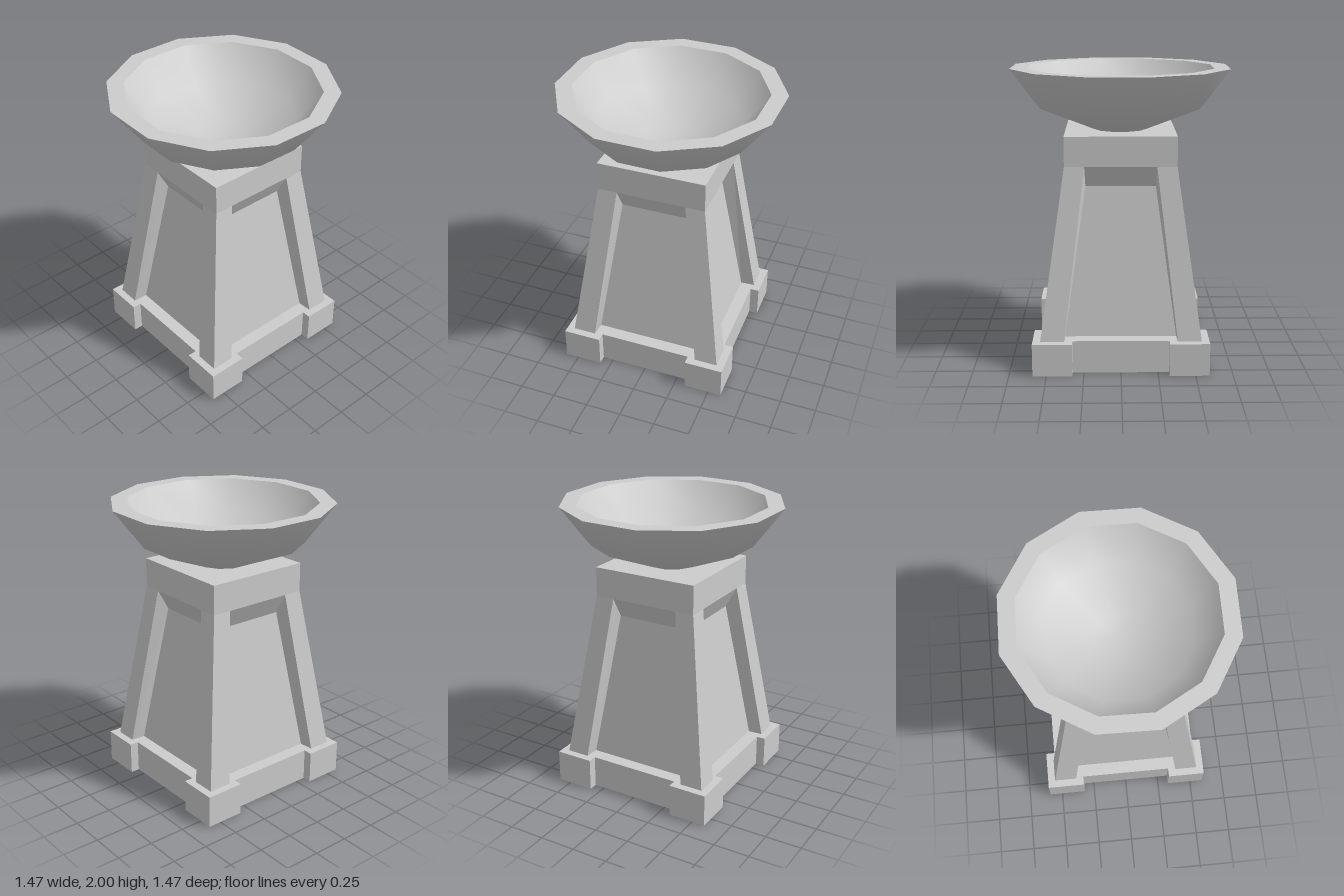
import * as THREE from 'three';

const mat = new THREE.MeshStandardMaterial({ color: 0xcccccc });
const flat = new THREE.MeshStandardMaterial({ color: 0xcccccc, flatShading: true });

function add(parent, name, geometry, material = flat) {
  const mesh = new THREE.Mesh(geometry, material);
  mesh.name = name;
  parent.add(mesh);
  return mesh;
}

// Flat quads, corners counter-clockwise seen from the front
function quads(list) {
  const pos = [];
  for (const [a, b, c, d] of list) pos.push(...a, ...b, ...c, ...a, ...c, ...d);
  const g = new THREE.BufferGeometry();
  g.setAttribute('position', new THREE.Float32BufferAttribute(pos, 3));
  g.computeVertexNormals();
  return g;
}

// Square plinth whose sides step in between the corner blocks
function plinthGeometry(half, notch, inset, height) {
  const side = [[-half, half], [-notch, half], [-notch, inset], [notch, inset], [notch, half]];
  const points = [];
  for (let i = 0; i < 4; i++) {
    for (const [x, y] of side) {
      points.push(new THREE.Vector2(x, y).rotateAround(new THREE.Vector2(), -i * Math.PI / 2));
    }
  }
  const g = new THREE.ExtrudeGeometry(new THREE.Shape(points), { depth: height, bevelEnabled: false });
  return g.rotateX(-Math.PI / 2);
}

// One tapered side: two piers framing a recessed panel under a sloping lintel
function columnSideGeometry() {
  const y0 = 0.225, y1 = 1.38, yPanel = 1.235;
  const list = [];
  for (const s of [-1, 1]) {
    const cornerLow = [s * 0.54, y0, 0.54], cornerTop = [s * 0.373, y1, 0.373];
    const frameLow = [s * 0.38, y0, 0.54], frameTop = [s * 0.24, y1, 0.373];
    const panelLow = [s * 0.375, y0, 0.44], panelTop = [s * 0.235, yPanel, 0.294];
    const pier = [cornerLow, frameLow, frameTop, cornerTop];
    const reveal = [frameLow, panelLow, panelTop, frameTop];
    list.push(...(s < 0 ? [pier, reveal] : [pier.reverse(), reveal.reverse()]));
  }
  list.push([[-0.375, y0, 0.44], [0.375, y0, 0.44], [0.235, yPanel, 0.294], [-0.235, yPanel, 0.294]]);
  list.push([[-0.235, yPanel, 0.294], [0.235, yPanel, 0.294], [0.24, y1, 0.373], [-0.24, y1, 0.373]]);
  return quads(list);
}

// Twelve-sided surface of revolution
function ring(profile) {
  const points = profile.map(([r, y]) => new THREE.Vector2(r, y));
  return new THREE.LatheGeometry(points, 12, THREE.MathUtils.degToRad(13.9));
}

export function createModel() {
  const model = new THREE.Group();
  model.name = 'pedestalBowl';

  add(model, 'plinth', plinthGeometry(0.592, 0.325, 0.53, 0.225));

  // Column
  const column = new THREE.Group();
  column.name = 'column';
  model.add(column);
  const sideGeometry = columnSideGeometry();
  for (let i = 0; i < 4; i++) {
    add(column, 'columnSide', sideGeometry).rotation.y = i * Math.PI / 2;
  }
  add(column, 'columnCap', new THREE.BoxGeometry(0.746, 0.2, 0.746)).position.y = 1.48;

  // Bowl
  const bowl = new THREE.Group();
  bowl.name = 'bowl';
  model.add(bowl);
  add(bowl, 'bowlOutside', ring([[0.185, 1.58], [0.555, 1.73], [0.757, 2]]), mat);
  add(bowl, 'bowlRim', ring([[0.757, 2], [0.645, 2]]));
  add(bowl, 'bowlInside', ring([[0.645, 2], [0.48, 1.79], [0.16, 1.66], [0, 1.66]]), mat);

  return model;
}
